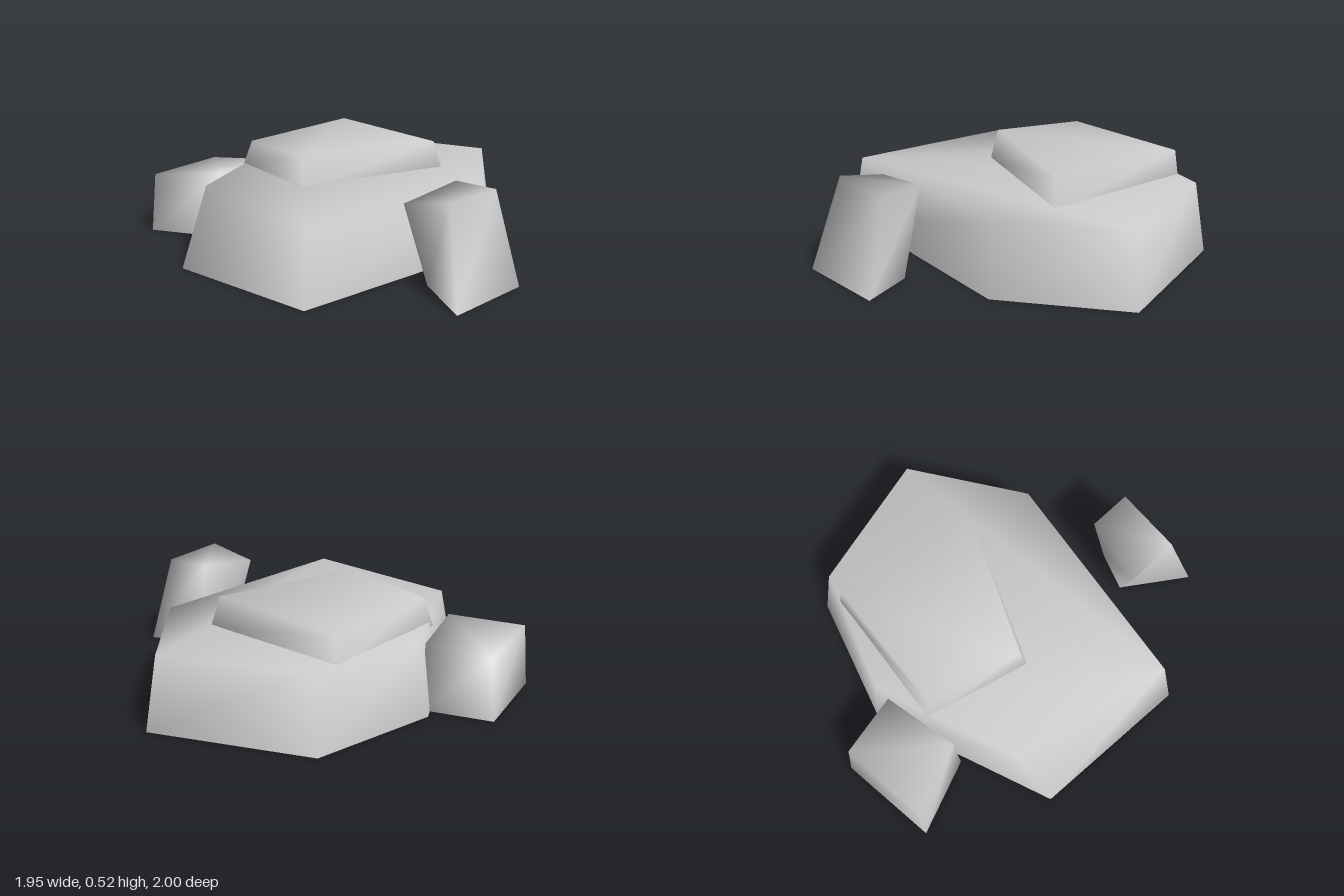
import * as THREE from 'three';

const stone = new THREE.MeshStandardMaterial({ color: 0xcccccc, side: THREE.DoubleSide });
stone.name = 'stone grey';

// Open-bottomed block: a base ring joined to a capped top ring, smooth shaded.
// Both rings are lists of [x, y, z], counterclockwise seen from above.
function rock(name, base, top) {
  const n = base.length;
  const index = [];
  for (let i = 0; i < n; i++) {
    const j = (i + 1) % n;
    index.push(i, j, n + j, i, n + j, n + i);
  }
  for (let i = 1; i < n - 1; i++) index.push(n, n + i, n + i + 1);
  const geometry = new THREE.BufferGeometry();
  geometry.setAttribute('position', new THREE.Float32BufferAttribute([...base, ...top].flat(), 3));
  geometry.setIndex(index);
  geometry.computeVertexNormals();
  const mesh = new THREE.Mesh(geometry, stone);
  mesh.name = name;
  return mesh;
}

export function createModel() {
  const group = new THREE.Group();
  group.name = 'rockCluster';

  // Wide six-sided boulder
  group.add(rock('mainBoulder',
    [[-0.46, 0, 0.75], [0.7, 0, 0.2], [0.97, 0, -0.45], [0.34, 0, -1], [-0.32, 0, -0.8], [-0.91, 0, 0.03]],
    [[-0.42, 0.365, 0.69], [0.66, 0.37, 0.17], [0.91, 0.375, -0.45], [0.35, 0.38, -0.93], [-0.29, 0.375, -0.76], [-0.75, 0.375, -0.13]]));

  // Slab resting on the boulder, sunk slightly into it
  group.add(rock('topSlab',
    [[-0.28, 0.35, 0.01], [0.55, 0.35, -0.15], [0.2, 0.35, -0.89], [-0.48, 0.35, -0.53]],
    [[-0.27, 0.525, -0.03], [0.5, 0.515, -0.16], [0.2, 0.51, -0.865], [-0.43, 0.5, -0.51]]));

  // Leaning stone in front
  group.add(rock('frontStone',
    [[0.19, 0, 1], [0.61, 0, 0.75], [0.39, 0, 0.56], [0.19, 0, 0.61]],
    [[0.2, 0.485, 0.84], [0.51, 0.475, 0.66], [0.38, 0.475, 0.47], [0.06, 0.43, 0.62]]));

  // Low stone at the back
  group.add(rock('backStone',
    [[-0.64, 0, -0.4], [-0.33, 0, -0.72], [-0.58, 0, -0.97], [-0.98, 0, -0.63]],
    [[-0.63, 0.355, -0.42], [-0.34, 0.34, -0.71], [-0.57, 0.31, -0.94], [-0.95, 0.32, -0.63]]));

  return group;
}
